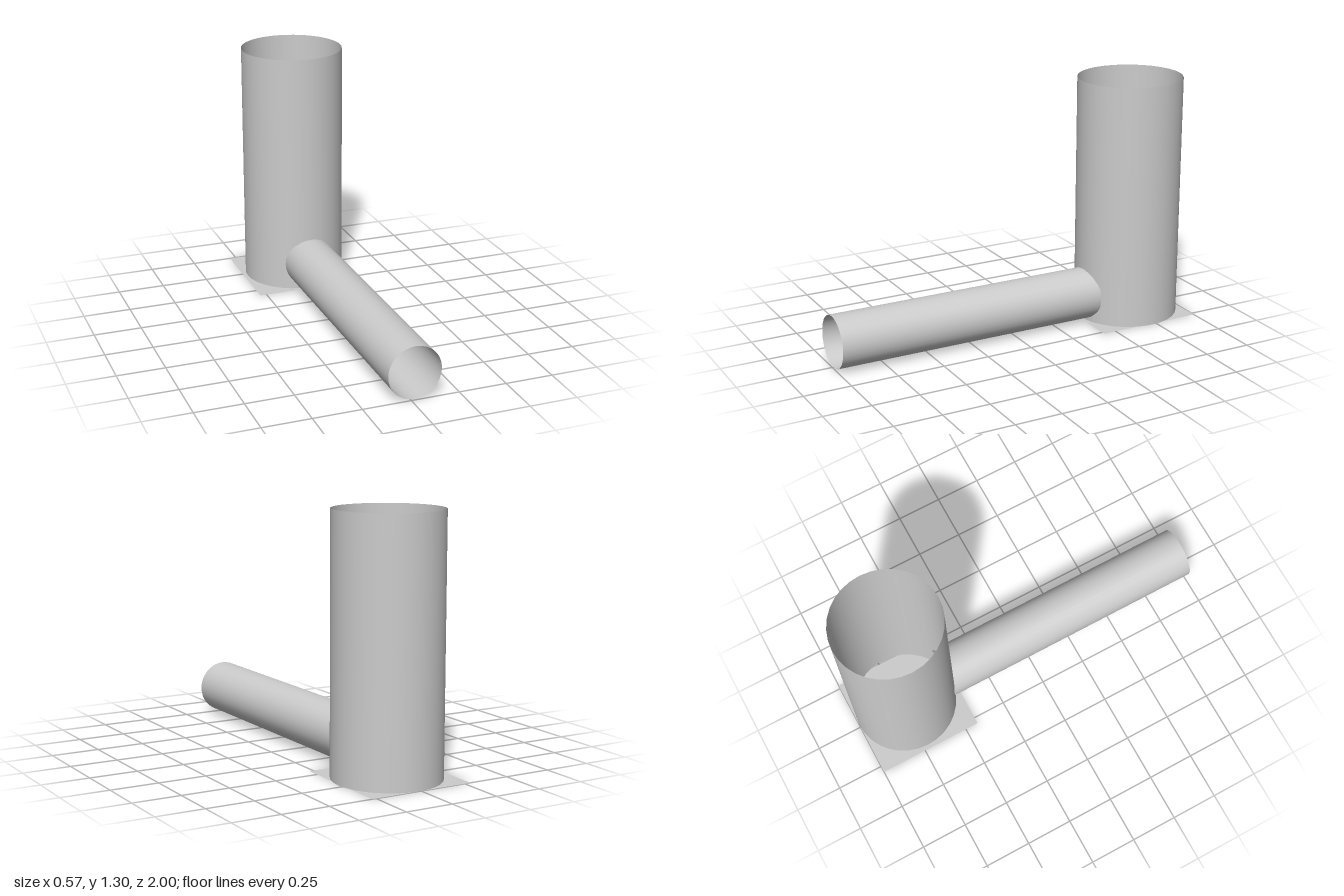
import * as THREE from 'three';

const material = new THREE.MeshStandardMaterial({ color: 0xcccccc, side: THREE.DoubleSide });

// Thin-walled open pipe, standing along y
function pipe(name, radius, length) {
  const mesh = new THREE.Mesh(new THREE.CylinderGeometry(radius, radius, length, 32, 1, true), material);
  mesh.name = name;
  return mesh;
}

export function createModel() {
  const group = new THREE.Group();

  // Upright open cylinder, very slightly deeper than wide
  const tower = pipe('uprightCylinder', 1, 1.305);
  tower.scale.set(0.274, 1, 0.28);
  tower.position.set(0.01, 0.6525, -0.72);
  group.add(tower);

  // Horizontal pipe running forward, its rear end just inside the cylinder wall
  const arm = pipe('horizontalPipe', 0.138, 1.478);
  arm.rotation.x = Math.PI / 2;
  arm.position.set(0.017, 0.144, 0.261);
  group.add(arm);

  // Flat sheet under the cylinder
  const base = new THREE.Mesh(new THREE.PlaneGeometry(0.556, 0.572), material);
  base.name = 'basePlate';
  base.rotation.x = -Math.PI / 2;
  base.position.set(-0.007, 0, -0.714);
  group.add(base);

  return group;
}
